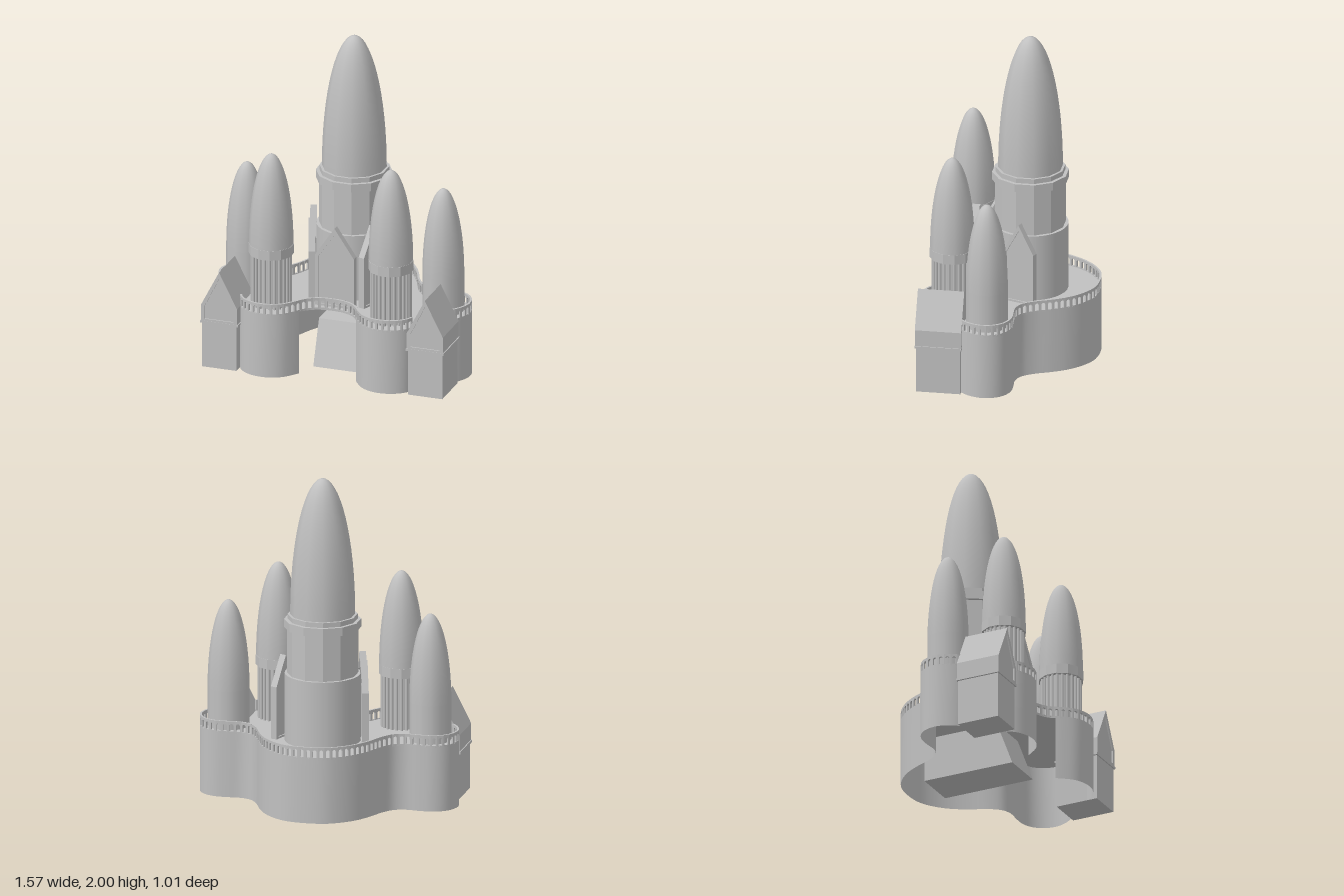
import * as THREE from 'three';
import { mergeGeometries } from 'three/addons/utils/BufferGeometryUtils.js';

const stone = new THREE.MeshStandardMaterial({ color: 0xc0c0c0 });
stone.name = 'grey stone';
const stoneSheet = stone.clone();
stoneSheet.name = 'grey stone sheet';
stoneSheet.side = THREE.DoubleSide;

function add(parent, name, geometry, x = 0, y = 0, z = 0, material = stone) {
  const mesh = new THREE.Mesh(geometry, material);
  mesh.name = name;
  mesh.position.set(x, y, z);
  parent.add(mesh);
  return mesh;
}

function group(parent, name, x = 0, y = 0, z = 0) {
  const g = new THREE.Group();
  g.name = name;
  g.position.set(x, y, z);
  parent.add(g);
  return g;
}

// faceted or smooth drum between two heights, with a flat side to the front
function drum(parent, name, r, y0, y1, sides, flat = false) {
  let geo = new THREE.CylinderGeometry(r, r, y1 - y0, sides);
  geo.rotateY(Math.PI / sides);
  if (flat) {
    geo = geo.toNonIndexed();
    geo.computeVertexNormals();
  }
  return add(parent, name, geo, 0, (y0 + y1) / 2);
}

// tall pointed-egg dome
function dome(parent, r, y0, y1) {
  const profile = [];
  for (let i = 0; i <= 16; i++) {
    const a = (i / 16) * Math.PI / 2;
    profile.push(new THREE.Vector2(Math.max(r * Math.cos(a), 0), y0 + (y1 - y0) * Math.sin(a)));
  }
  const geo = new THREE.LatheGeometry(profile, 12);
  geo.rotateY(Math.PI / 12);
  add(parent, 'dome', geo);
}

function pentagon(Kind, w, y0, eave, peak) {
  const p = new Kind();
  p.moveTo(-w, y0);
  p.lineTo(w, y0);
  p.lineTo(w, eave);
  p.lineTo(0, peak);
  p.lineTo(-w, eave);
  p.closePath();
  return p;
}

const extrude = (shape, depth) =>
  new THREE.ExtrudeGeometry(shape, { depth, bevelEnabled: false, curveSegments: 5 });

// gabled block with a raised frame around its recessed face
function gable(parent, w, y0, eave, peak, depth, rim) {
  const frame = pentagon(THREE.Shape, w, y0, eave, peak);
  frame.holes.push(pentagon(THREE.Path, w - rim, y0 + rim * 0.6, eave - rim * 0.3, peak - rim * 1.9));
  add(parent, 'gableFrame', extrude(frame, depth), 0, 0, -depth / 2);
  const core = extrude(pentagon(THREE.Shape, w - rim / 2, y0, eave, peak - rim), depth - 0.016);
  add(parent, 'gablePanel', core, 0, 0, -depth / 2 + 0.008);
}

// half of the terrace outline as x, z, from front centre round to back centre
const HALF = [
  [0, .292], [.08, .302], [.15, .342], [.2, .41], [.255, .47], [.32, .5], [.385, .506], [.455, .488],
  [.51, .45], [.54, .4], [.56, .31], [.62, .245], [.7, .222], [.755, .165], [.785, .08], [.77, 0],
  [.725, -.055], [.66, -.083], [.58, -.085], [.5, -.08], [.435, -.105], [.385, -.17], [.335, -.28],
  [.28, -.37], [.21, -.44], [.12, -.492], [0, -.508],
];

function outline(count) {
  const mirrored = HALF.slice(1, -1).reverse().map(([x, z]) => [-x, z]);
  const pts = [...HALF, ...mirrored].map(([x, z]) => new THREE.Vector3(x, 0, z));
  return new THREE.CatmullRomCurve3(pts, true).getSpacedPoints(count);
}

const insideHouse = (p) => Math.abs(p.x) > 0.535 && p.z > 0.2;

function buildTerrace(root) {
  const terrace = group(root, 'terrace');
  const pts = outline(168);

  // deck
  const deck = extrude(new THREE.Shape(pts.slice(0, -1).map((p) => new THREE.Vector2(p.x, p.z))), 0.01);
  deck.rotateX(Math.PI / 2);
  add(terrace, 'deck', deck, 0, 0.4, 0);

  // curved wall, open at the front centre
  const first = pts.findIndex((p) => p.x > 0.165);
  const path = pts.slice(first, pts.length - first);
  const wall = new THREE.PlaneGeometry(1, 1, path.length - 1, 1);
  const pos = wall.attributes.position;
  for (let i = 0; i < pos.count; i++) {
    const p = path[i % path.length];
    pos.setXYZ(i, p.x, i < path.length ? 0.4 : 0, p.z);
  }
  wall.computeVertexNormals();
  add(terrace, 'curvedWall', wall, 0, 0, 0, stoneSheet);

  // parapet of small arched panels
  const panels = [];
  const edge = outline(112);
  for (let i = 0; i < edge.length - 1; i++) {
    const a = edge[i], b = edge[i + 1];
    if (insideHouse(a) && insideHouse(b)) continue;
    const len = a.distanceTo(b), w = len / 2, h = w - 0.008;
    const panel = new THREE.Shape([[-w, 0], [w, 0], [w, 0.065], [-w, 0.065]].map((c) => new THREE.Vector2(...c)));
    const arch = new THREE.Path();
    arch.moveTo(-h, 0.004);
    arch.lineTo(h, 0.004);
    arch.lineTo(h, 0.038);
    arch.absarc(0, 0.038, h, 0, Math.PI, false);
    arch.closePath();
    panel.holes.push(arch);
    const geo = extrude(panel, 0.012);
    geo.translate(0, 0, -0.012);
    geo.rotateY(-Math.atan2(b.z - a.z, b.x - a.x));
    geo.translate((a.x + b.x) / 2, 0.4, (a.z + b.z) / 2);
    panels.push(geo);
  }
  add(terrace, 'parapet', mergeGeometries(panels));

  // sloping-fronted gate block under the deck; profile drawn in -z, y
  const block = extrude(new THREE.Shape([[-.25, 0], [.33, 0], [.33, .27], [-.15, .27]]
    .map((c) => new THREE.Vector2(...c))), 0.27);
  block.rotateY(Math.PI / 2);
  add(terrace, 'gateBlock', block, -0.135, 0, 0);
}

function buildMainTower(root) {
  const tower = group(root, 'mainTower', 0, 0, -0.09);
  drum(tower, 'lowerDrum', 0.225, 0.4, 0.81, 32);
  drum(tower, 'upperDrum', 0.21, 0.81, 1.09, 12, true);
  drum(tower, 'cornice', 0.228, 1.09, 1.14, 12, true);
  drum(tower, 'domeRing', 0.207, 1.14, 1.17, 12, true);
  dome(tower, 0.192, 1.17, 2);

  // gables standing round the tower
  gable(group(root, 'frontGable', 0, 0, 0.235), 0.122, 0.4, 0.72, 0.9, 0.045, 0.022);
  for (const s of [1, -1]) {
    for (const [x, z] of [[0.188, 0.125], [0.247, -0.068]]) {
      const side = group(root, 'sideGable', s * x, 0, z);
      side.rotation.y = s * 1.24;
      gable(side, 0.1, 0.4, 0.72, 0.895, 0.04, 0.02);
    }
  }
}

function buildSide(root, s) {
  // front tower with a ring of columns
  const front = group(root, 'frontTower', s * 0.375, 0, 0.315);
  drum(front, 'towerCore', 0.105, 0.4, 0.725, 24);
  for (let i = 0; i < 24; i++) {
    const a = (i / 24) * Math.PI * 2;
    const column = new THREE.CylinderGeometry(0.009, 0.009, 0.325, 6);
    add(front, 'column', column, Math.sin(a) * 0.115, 0.5625, Math.cos(a) * 0.115);
  }
  drum(front, 'towerRing', 0.134, 0.72, 0.78, 12, true);
  dome(front, 0.132, 0.78, 1.35);

  // plain outer tower
  const outer = group(root, 'outerTower', s * 0.615, 0, 0.068);
  drum(outer, 'towerDrum', 0.124, 0.4, 0.635, 12);
  dome(outer, 0.124, 0.635, 1.17);

  // gabled gatehouse
  const house = group(root, 'gatehouse', s * 0.645, 0, 0.337);
  add(house, 'houseWalls', new THREE.BoxGeometry(0.215, 0.285, 0.265), 0, 0.1425, 0);
  add(house, 'houseTrim', new THREE.BoxGeometry(0.238, 0.014, 0.28), 0, 0.288, 0);
  gable(house, 0.113, 0.295, 0.395, 0.615, 0.277, 0.022);
}

export function createModel() {
  const root = new THREE.Group();
  root.name = 'palace';
  buildTerrace(root);
  buildMainTower(root);
  for (const s of [1, -1]) buildSide(root, s);
  return root;
}
